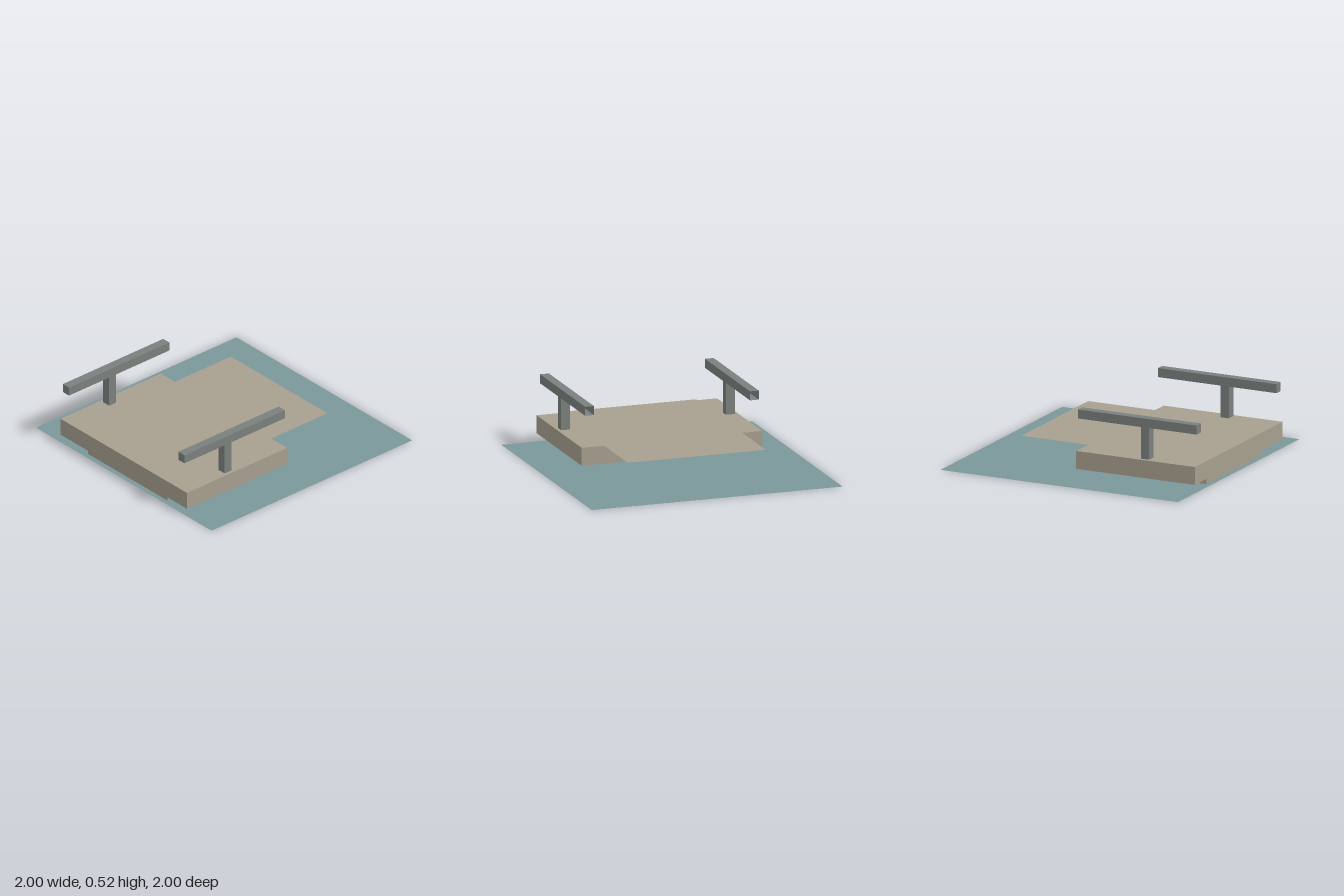
import * as THREE from 'three';

const makeMaterial = (name, color) => {
  const m = new THREE.MeshStandardMaterial({ color, side: THREE.DoubleSide });
  m.name = name;
  return m;
};

export function createModel() {
  const model = new THREE.Group();
  model.name = 'platform';
  const teal = makeMaterial('greyTeal', 0x7a979a);
  const beige = makeMaterial('beige', 0xa79f8e);
  const grey = makeMaterial('grey', 0x7a807d);

  const add = (name, geometry, material) => {
    const mesh = new THREE.Mesh(geometry, material);
    mesh.name = name;
    model.add(mesh);
    return mesh;
  };
  // Box given by its extents on each axis
  const box = (name, [x0, x1], [y0, y1], [z0, z1], material) => {
    const g = new THREE.BoxGeometry(x1 - x0, y1 - y0, z1 - z0);
    g.translate((x0 + x1) / 2, (y0 + y1) / 2, (z0 + z1) / 2);
    return add(name, g, material);
  };
  // Flat horizontal sheet
  const sheet = (name, [x0, x1], y, depth, material) => {
    const g = new THREE.PlaneGeometry(x1 - x0, depth).rotateX(-Math.PI / 2);
    g.translate((x0 + x1) / 2, y, 0);
    return add(name, g, material);
  };

  // Base sheet, foot, body and overhanging top sheet
  sheet('baseSheet', [-1, 1], 0, 2, teal);
  box('foot', [-0.96, -0.72], [0.001, 0.065], [-0.45, 0.45], beige);
  box('body', [-1, 0], [0.065, 0.204], [-0.72, 0.72], beige);
  sheet('topSheet', [-1, 0.55], 0.212, 1.1, beige);

  // Armrests: a post carrying a hollow rail, open at its +x end
  for (const [side, z] of [['left', 0.657], ['right', -0.657]]) {
    const width = [z - 0.035, z + 0.035];
    box(side + 'Post', [-0.6, -0.53], [0.204, 0.483], width, grey);
    const rail = box(side + 'Rail', [-1, 0], [0.45, 0.52], width, grey).geometry;
    rail.setIndex(Array.from(rail.index.array).slice(6)); // drop the +x end face
    rail.clearGroups();
  }
  return model;
}
